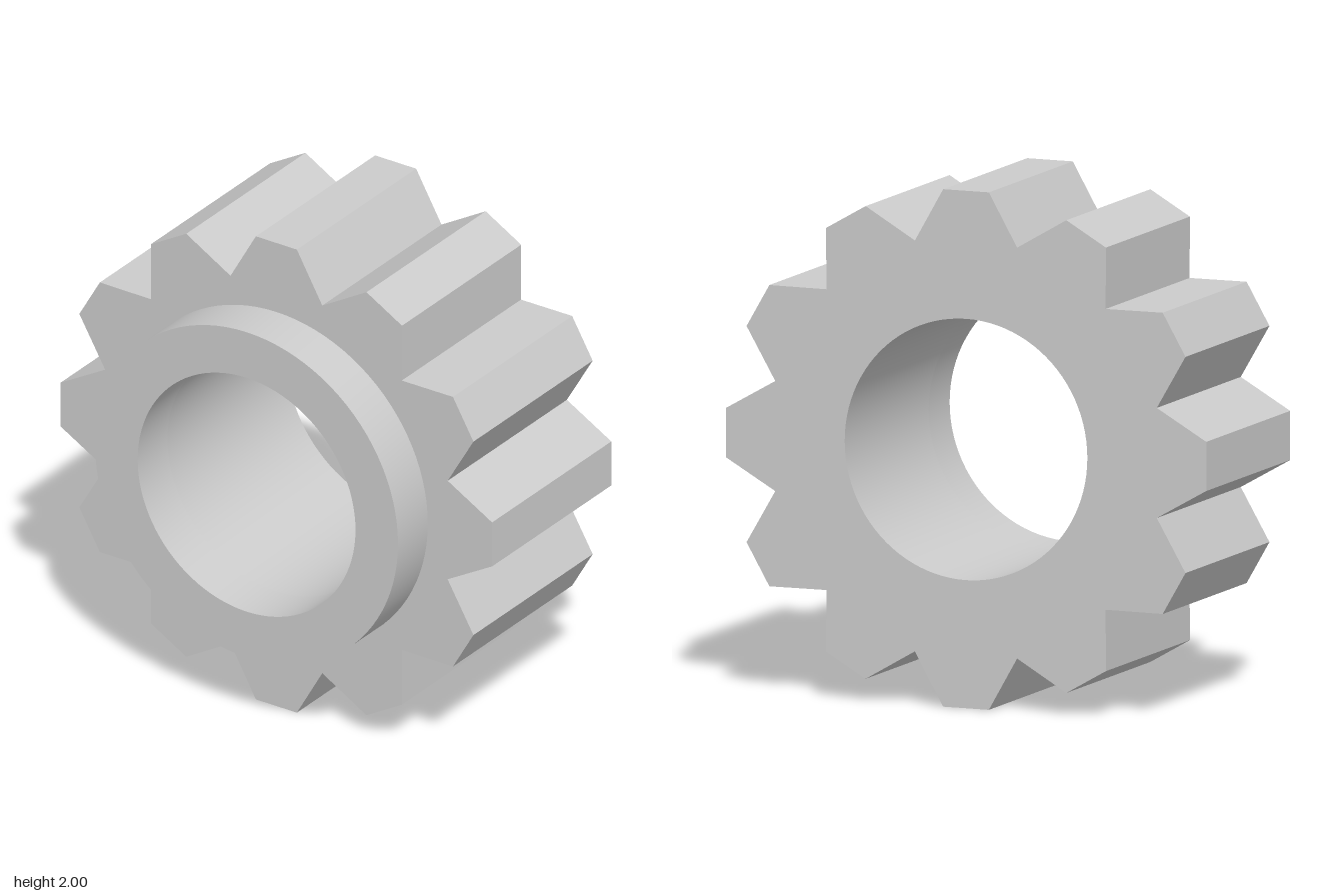
import * as THREE from 'three';
import { toCreasedNormals } from 'three/addons/utils/BufferGeometryUtils.js';

const TEETH = 12, ROOT = 0.822, TIP = 1, TIP_HALF_WIDTH = 0.095;
const BORE = 0.505, HUB = 0.702;
const BACK = -0.5, FACE = 0.3, FRONT = 0.5;
const SEGMENTS = 96;

export function createModel() {
  const model = new THREE.Group();
  model.name = 'pinionGear';
  const material = new THREE.MeshStandardMaterial({ color: 0xcccccc });

  const addPart = (name, geometry) => {
    const mesh = new THREE.Mesh(toCreasedNormals(geometry, Math.PI / 9), material);
    mesh.name = name;
    mesh.position.y = 1;
    model.add(mesh);
  };

  // Toothed outline: a root point and two flat-tip corners per tooth
  const outline = [];
  const pitch = (Math.PI * 2) / TEETH;
  const centre = new THREE.Vector2();
  for (let i = 0; i < TEETH; i++) {
    const angle = i * pitch;
    outline.push(
      new THREE.Vector2(ROOT, 0).rotateAround(centre, angle - pitch / 2),
      new THREE.Vector2(TIP, -TIP_HALF_WIDTH).rotateAround(centre, angle),
      new THREE.Vector2(TIP, TIP_HALF_WIDTH).rotateAround(centre, angle),
    );
  }

  // Gear body with its bore
  const shape = new THREE.Shape(outline);
  shape.holes.push(new THREE.Path().absarc(0, 0, BORE, 0, Math.PI * 2, true));
  const gear = new THREE.ExtrudeGeometry(shape, {
    depth: FACE - BACK, bevelEnabled: false, curveSegments: SEGMENTS / 2,
  });
  gear.translate(0, 0, BACK);
  addPart('toothedBody', gear);

  // Hub collar on the front, open where it meets the body
  const profile = [[HUB, FACE], [HUB, FRONT], [BORE, FRONT], [BORE, FACE]];
  const hub = new THREE.LatheGeometry(profile.map(([r, z]) => new THREE.Vector2(r, z)), SEGMENTS);
  hub.rotateX(Math.PI / 2);
  addPart('hubCollar', hub);

  return model;
}
